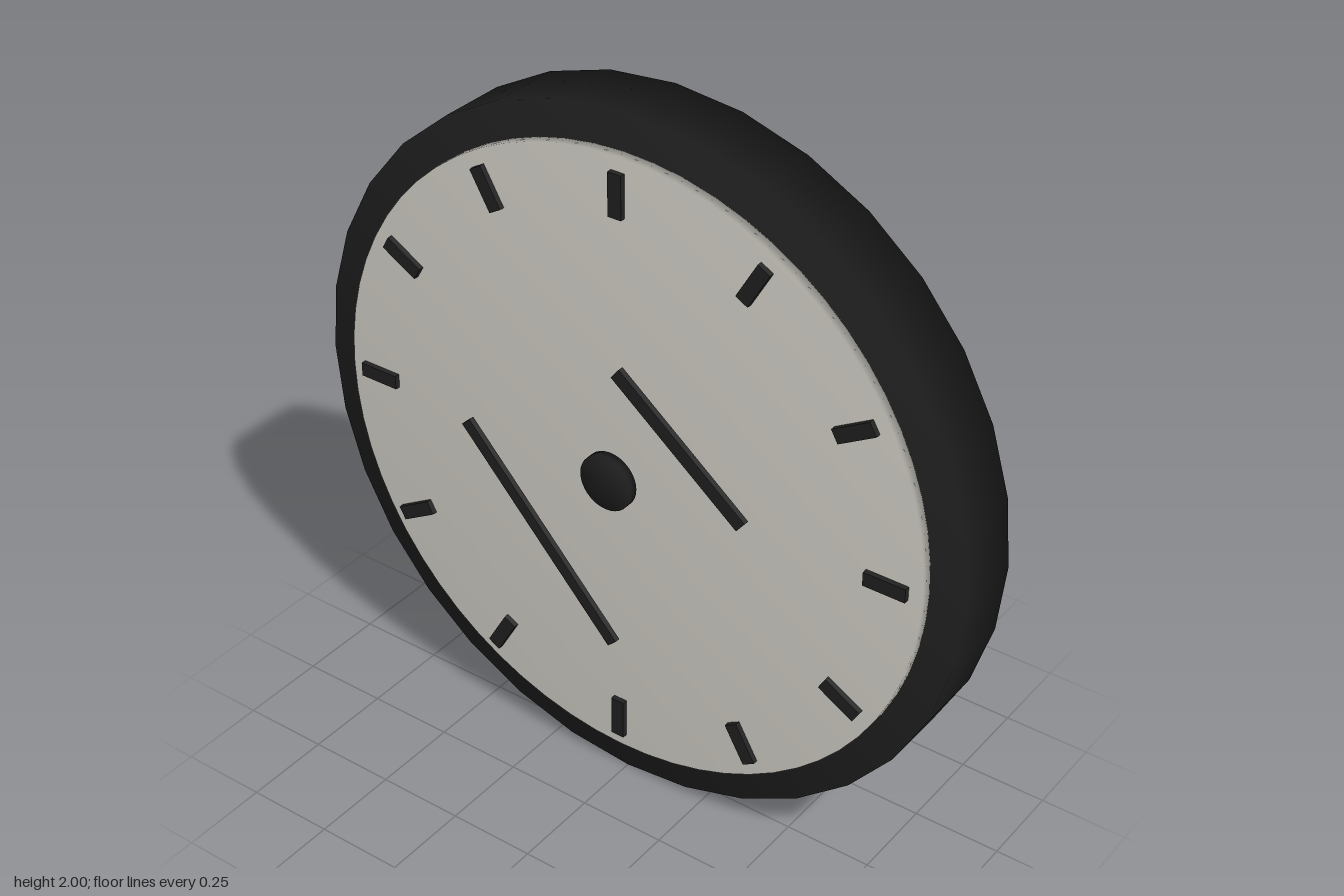
import * as THREE from 'three';
import { mergeVertices } from 'three/addons/utils/BufferGeometryUtils.js';

const CENTER_Y = 1;

function material(name, color) {
  const m = new THREE.MeshStandardMaterial({ color });
  m.name = name;
  return m;
}

// Disc facing +z between two depths, with normals blended softly over the rim
function softDisc(radius, back, front, sides) {
  let g = new THREE.CylinderGeometry(radius, radius, front - back, sides);
  g.rotateX(Math.PI / 2);
  g.deleteAttribute('normal');
  g.deleteAttribute('uv');
  g = mergeVertices(g, 1e-4);
  g.computeVertexNormals();
  g.translate(0, CENTER_Y, (back + front) / 2);
  return g;
}

// Flat bar running between two points of the dial
function bar(from, to, width, back, front) {
  const dx = to[0] - from[0], dy = to[1] - from[1];
  const g = new THREE.BoxGeometry(Math.hypot(dx, dy), width, front - back);
  g.rotateZ(Math.atan2(dy, dx));
  g.translate((from[0] + to[0]) / 2, (from[1] + to[1]) / 2, (back + front) / 2);
  return g;
}

export function createModel() {
  const group = new THREE.Group();
  group.name = 'wallClock';
  const black = material('casing black', 0x222222);
  const ivory = material('dial ivory', 0xe2dfd6);

  const add = (name, geometry, mat) => {
    const mesh = new THREE.Mesh(geometry, mat);
    mesh.name = name;
    group.add(mesh);
  };

  // Casing and dial
  add('casing', softDisc(1, -0.147, 0.052, 32), black);
  add('dial', softDisc(0.9, 0.055, 0.085, 64), ivory);

  // Twelve hour markers
  for (let i = 0; i < 12; i++) {
    const a = (i * Math.PI) / 6;
    const at = (r) => [Math.sin(a) * r, CENTER_Y + Math.cos(a) * r];
    add('hourMarker' + (i || 12), bar(at(0.74), at(0.86), 0.04, 0.08, 0.1), black);
  }

  // Hands, floating clear of the hub
  add('hourHand', bar([0.008, 1.315], [0.393, 1.01], 0.04, 0.097, 0.113), black);
  add('minuteHand', bar([-0.478, 0.99], [0, 0.47], 0.035, 0.106, 0.122), black);

  // Centre hub
  add('hub', softDisc(0.08, 0.12, 0.144, 32), black);
  return group;
}
